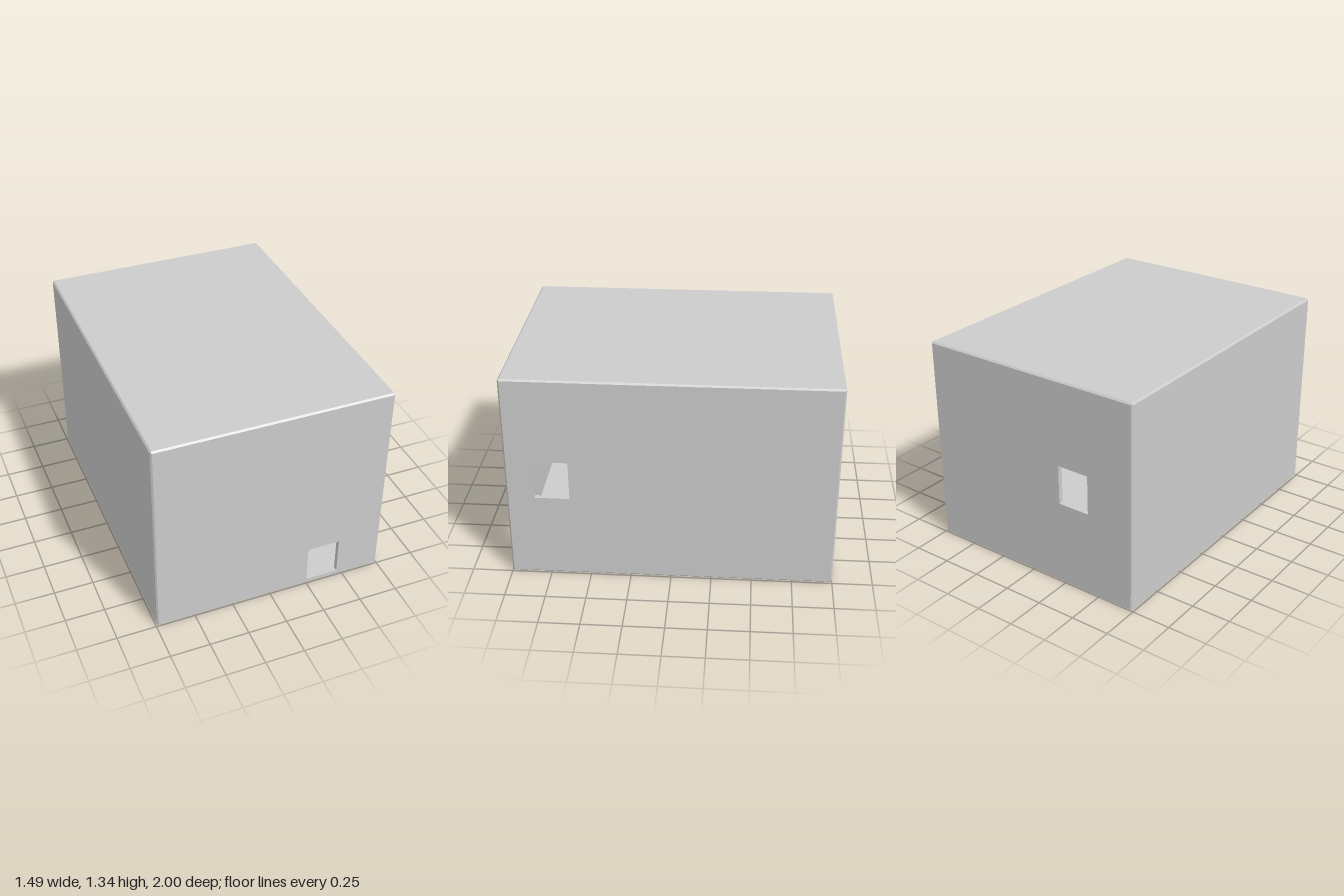
import * as THREE from 'three';

const W = 1.488, H = 1.336, D = 2; // outer size
const T = 0.03;                    // wall thickness
const C = 0.01;                    // chamfer on the outer edges

// Mitred panel facing +z with chamfered outer rim; opening = [x0, x1, y0, y1]
function panelGeometry(w, h, opening) {
  const a = w / 2, b = h / 2;
  const rect = (x0, x1, y0, y1) => [[x0, y0], [x1, y0], [x1, y1], [x0, y1]].map(p => new THREE.Vector2(...p));
  const shape = new THREE.Shape(rect(-a, a, -b, b));
  if (opening) shape.holes.push(new THREE.Path(rect(...opening).reverse()));
  const geo = new THREE.ExtrudeGeometry(shape, { depth: T, steps: 2, bevelEnabled: false });
  const layers = [{ z: 0, inset: T }, { z: T - C / 2, inset: C / 2 }, { z: T, inset: C }];
  const p = geo.attributes.position;
  for (let i = 0; i < p.count; i++) {
    const x = p.getX(i), y = p.getY(i);
    const { z, inset } = layers[Math.round(p.getZ(i) / T * 2)];
    const onRim = Math.abs(x) > a - 1e-4 || Math.abs(y) > b - 1e-4;
    if (onRim) p.setXY(i, x - Math.sign(x) * inset, y - Math.sign(y) * inset);
    p.setZ(i, z);
  }
  geo.computeVertexNormals();
  return geo;
}

export function createModel() {
  const model = new THREE.Group();
  model.name = 'hollowBox';
  const material = new THREE.MeshStandardMaterial({ color: 0xcccccc, flatShading: true });
  const q = Math.PI / 2, m = H / 2;

  // name, width, height, distance from centre, turn about x, turn about y, opening
  const panels = [
    ['frontWall', W, H, D / 2, 0, 0, [0.25, 0.46, 0.035 - m, 0.285 - m]],
    ['backWall', W, H, D / 2, 0, 2 * q, [0.22, 0.43, 0.545 - m, 0.795 - m]],
    ['leftWall', D, H, W / 2, 0, q, [-0.83, -0.615, 0.545 - m, 0.795 - m]],
    ['rightWall', D, H, W / 2, 0, -q, null],
    ['roof', W, D, H / 2, -q, 0, null],
    ['floor', W, D, H / 2, q, 0, null],
  ];
  for (const [name, w, h, dist, rx, ry, opening] of panels) {
    const geo = panelGeometry(w, h, opening);
    geo.translate(0, 0, dist - T).rotateX(rx).rotateY(ry).translate(0, m, 0);
    const mesh = new THREE.Mesh(geo, material);
    mesh.name = name;
    model.add(mesh);
  }
  return model;
}
